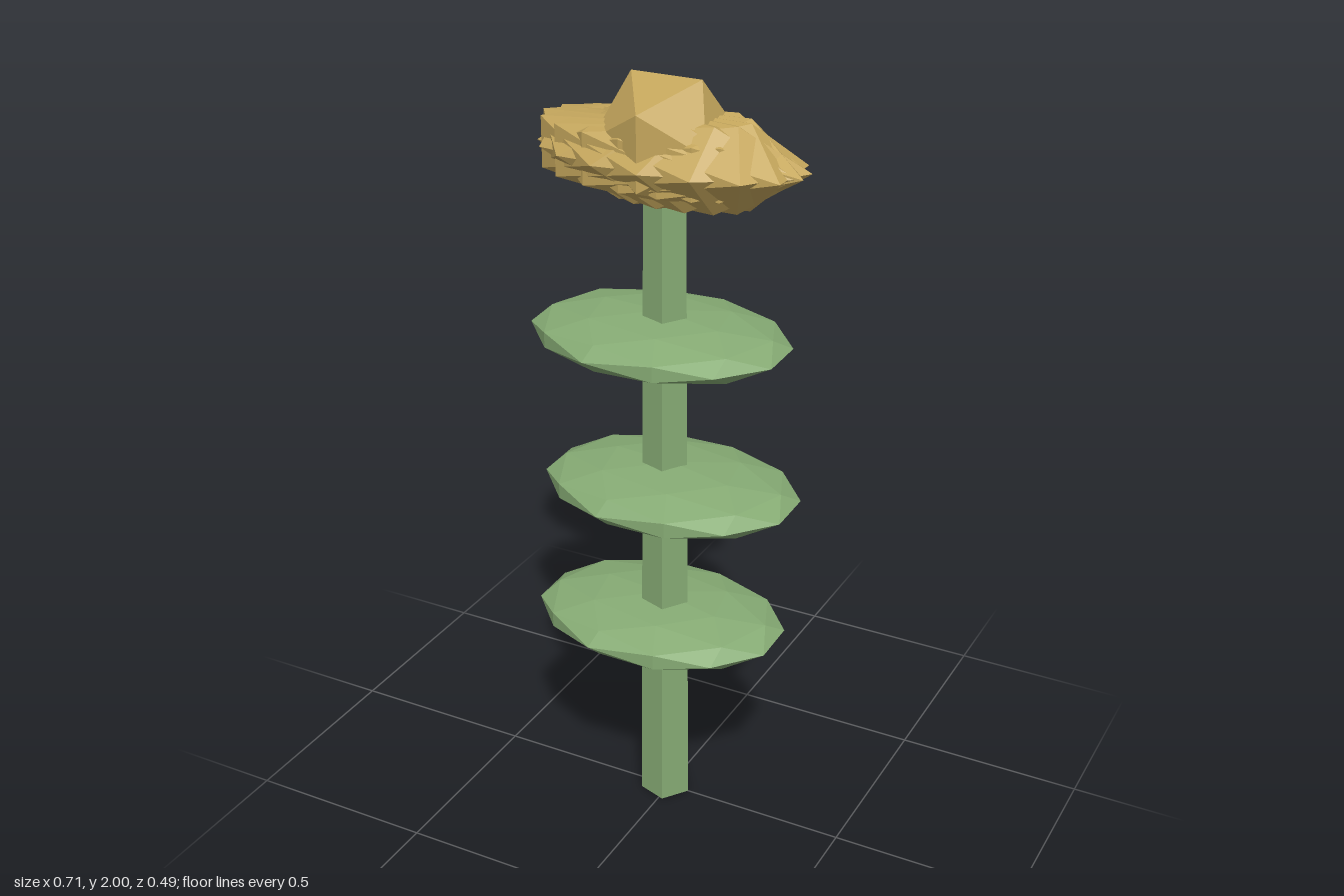
import * as THREE from 'three';

const CX = -0.01; // stem axis

export function createModel() {
  const model = new THREE.Group();
  const green = new THREE.MeshStandardMaterial({ color: 0x86ab74, flatShading: true });
  const gold = new THREE.MeshStandardMaterial({ color: 0xc4a65c, flatShading: true });

  const add = (name, geometry, material, x, y, z) => {
    const mesh = new THREE.Mesh(geometry, material);
    mesh.name = name;
    mesh.position.set(x, y, z);
    model.add(mesh);
  };

  // Unit icosahedron turned about y first, then squashed to its radii
  const blob = (detail, turn, rx, ry, rz) =>
    new THREE.IcosahedronGeometry(1, detail).rotateY(turn).scale(rx, ry, rz);

  // Tapered five-sided stem with one corner towards +x
  const stem = new THREE.CylinderGeometry(0.054, 0.068, 1.8, 5, 1, false, Math.PI / 2);
  add('stem', stem, green, CX, 0.9, 0);

  // Flat leaves, alternating sides of the stem
  for (let i = 0; i < 3; i++) {
    const side = i % 2 ? 1 : -1;
    add(`leaf${i + 1}`, blob(1, -0.258, 0.341, 0.065, 0.246), green,
      CX + side * 0.02, 0.545 + i * 0.4, side * 0.008);
  }

  // Overlapping petals: each turns half as far as its place round the ring
  const petals = 10;
  for (let i = 0; i < petals; i++) {
    const a = (i / petals) * Math.PI * 2;
    add(`petal${i + 1}`, blob(0, -a / 2, 0.338, 0.123, 0.152), gold,
      CX + 0.043 * Math.cos(a), 1.81, 0.018 * Math.sin(a));
  }

  // Faceted flower centre
  add('flowerCentre', blob(0, 0, 0.176, 0.176, 0.176), gold, CX + 0.002, 1.85, 0);

  return model;
}
